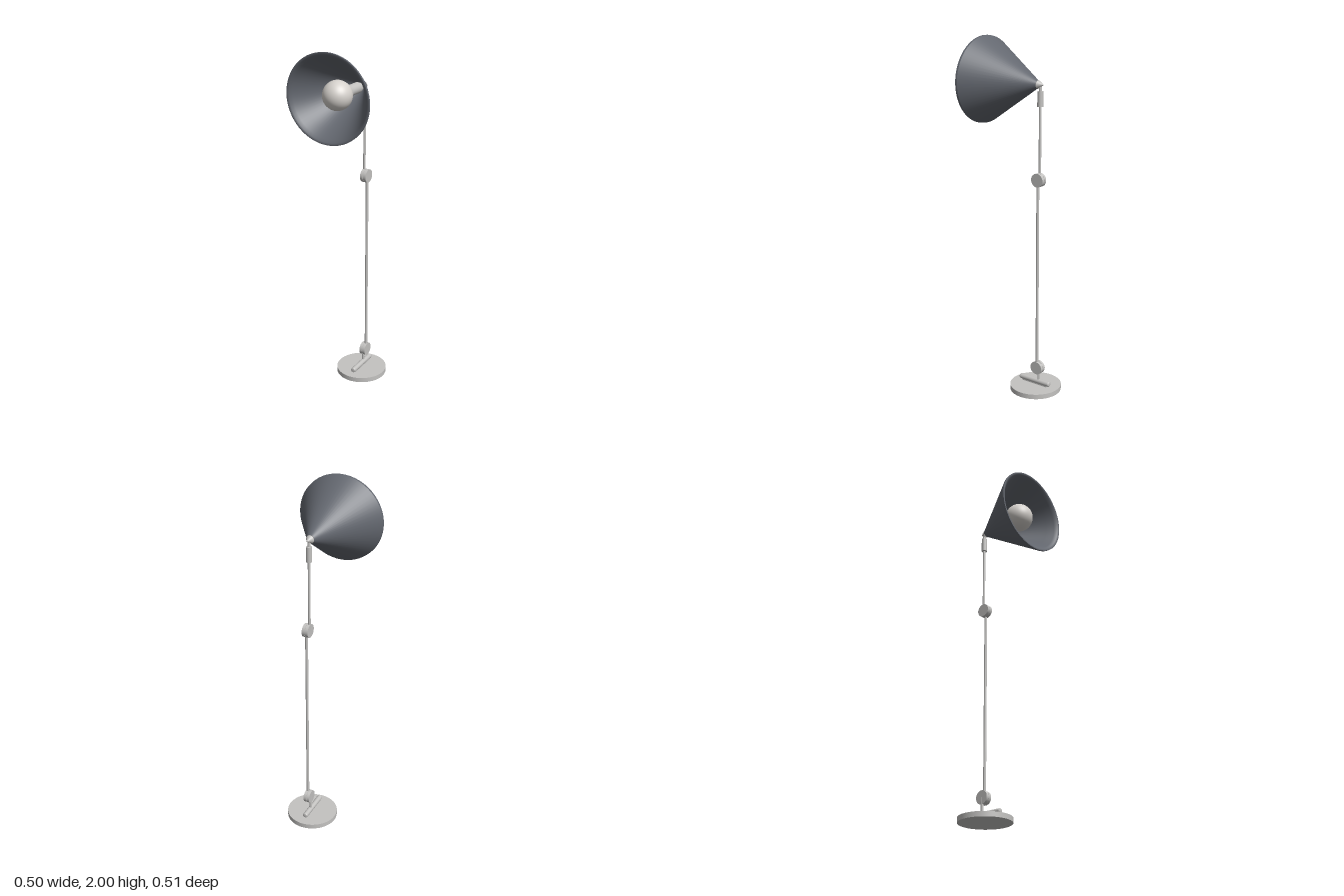
import * as THREE from 'three';

const metal = new THREE.MeshStandardMaterial({ color: 0xc4c3c1 });
metal.name = 'brushedMetal';
const enamel = new THREE.MeshStandardMaterial({ color: 0x63676f, side: THREE.DoubleSide });
enamel.name = 'darkGreyEnamel';
const glass = new THREE.MeshStandardMaterial({ color: 0xd6d2cd });
glass.name = 'bulbGlass';

export function createModel() {
  const lamp = new THREE.Group();
  lamp.name = 'floorLamp';
  const postZ = -0.13;

  function add(parent, name, geometry, material, x = 0, y = 0, z = 0) {
    const mesh = new THREE.Mesh(geometry, material);
    mesh.name = name;
    mesh.position.set(x, y, z);
    parent.add(mesh);
    return mesh;
  }
  // Vertical rod between two heights
  function rod(name, x, y0, y1, r) {
    add(lamp, name, new THREE.CylinderGeometry(r, r, y1 - y0, 20), metal, x, (y0 + y1) / 2, postZ);
  }
  // Lathe about z from [radius, z] pairs
  function turned(pairs, segments = 64) {
    const pts = pairs.map(([r, z]) => new THREE.Vector2(r, z));
    return new THREE.LatheGeometry(pts, segments).rotateX(Math.PI / 2);
  }

  // Round base with a rounded bar on a narrow strip
  add(lamp, 'base', new THREE.CylinderGeometry(0.147, 0.147, 0.028, 64), metal, 0.005, 0.014, -0.108);
  add(lamp, 'barStrip', new THREE.BoxGeometry(0.016, 0.014, 0.17), metal, 0.006, 0.034, -0.105);
  add(lamp, 'baseBar', turned([[0, -0.103], [0.011, -0.103], [0.014, -0.1], [0.015, -0.095],
    [0.015, 0.095], [0.014, 0.1], [0.011, 0.103], [0, 0.103]], 24), metal, 0.006, 0.048, -0.104);

  // Poles
  rod('baseStem', 0.005, 0.05, 0.14, 0.008);
  rod('lowerPole', 0.023, 0.14, 1.247, 0.008);
  rod('upperPole', 0.005, 1.247, 1.66, 0.007);

  // Hinges, each a pair of discs
  for (const y of [0.14, 1.247]) {
    const hinge = new THREE.Group();
    hinge.name = 'hinge';
    hinge.position.set(0.016, y, postZ);
    for (const side of [-1, 1]) {
      add(hinge, 'hingeDisc', new THREE.CylinderGeometry(0.038, 0.038, 0.017, 40).rotateZ(Math.PI / 2),
        metal, side * 0.0093);
    }
    add(hinge, 'hingePin', new THREE.CylinderGeometry(0.033, 0.033, 0.02, 32).rotateZ(Math.PI / 2), metal);
    lamp.add(hinge);
  }

  // Collar and neck that carry the shade
  rod('collar', 0.005, 1.645, 1.728, 0.016);
  rod('neck', 0.005, 1.72, 1.762, 0.008);

  // Shade head, turned slightly to one side
  const head = new THREE.Group();
  head.name = 'head';
  head.position.set(0.005, 1.762, -0.115);
  head.rotation.y = -0.02;
  lamp.add(head);

  const shade = new THREE.Group();
  shade.name = 'shade';
  shade.scale.y = 0.965;
  head.add(shade);
  add(shade, 'shadeOutside', turned([[0.02, 0], [0.248, 0.352]]), enamel);
  add(shade, 'shadeEdge', turned([[0.248, 0.352], [0.249, 0.363]]), enamel);
  add(shade, 'shadeInside', turned([[0.249, 0.363], [0.243, 0.364], [0.235, 0.36], [0.222, 0.345],
    [0.2, 0.307], [0.11, 0.165], [0.014, 0.012], [0, 0.01]]), enamel);

  // Cone cap behind the shade
  add(head, 'cap', turned([[0, -0.034], [0.004, -0.032], [0.022, -0.003], [0.023, 0], [0, 0.001]], 32), metal);

  // Bulb and socket
  add(head, 'bulb', new THREE.SphereGeometry(0.08, 40, 28), glass, 0, 0.001, 0.262);
  add(head, 'socket', turned([[0.02, 0.03], [0.03, 0.06], [0.03, 0.14], [0.045, 0.2]], 32), metal);

  return lamp;
}
